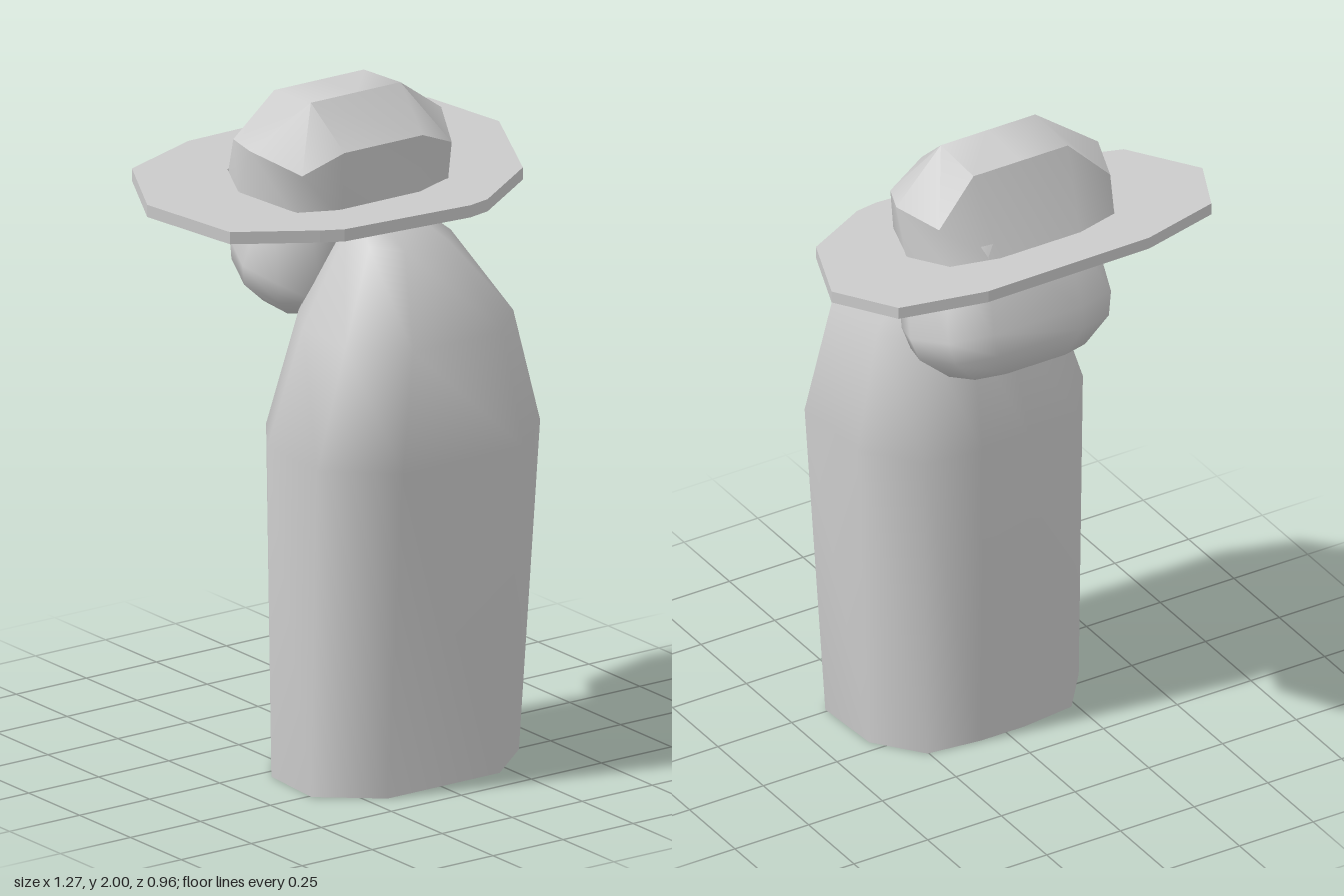
import * as THREE from 'three';

// Unit half outline (x, z) from front to back on the left side; mirrored to ten points.
const BODY = [[0.54, 1], [1, 0.46], [0.96, -0.38], [0.66, -0.92], [0.2, -1]];
const HEAD = [[0.5, 1], [0.87, 0.75], [1, 0.05], [0.85, -0.72], [0.46, -1]];

// Complete a half ring of [x, y, z] points by mirroring in x.
const mirror = half => [...half, ...half.map(([x, y, z]) => [-x, y, z]).reverse()];

// Ring at height y, centred on (cx, cz), with half sizes hx and hz.
function ring(outline, y, cx, hx, cz, hz) {
  return mirror(outline.map(([x, z]) => [x * hx, y, z * hz])).map(([x, h, z]) => [x + cx, h, z + cz]);
}

// Smooth skin through rings listed from bottom to top.
function loft(rings) {
  const n = rings[0].length, index = [];
  for (let r = 0; r < rings.length - 1; r++) {
    for (let i = 0; i < n; i++) {
      const a = r * n + i, b = r * n + (i + 1) % n;
      index.push(a, b, a + n, b, b + n, a + n);
    }
  }
  const geo = new THREE.BufferGeometry();
  geo.setAttribute('position', new THREE.Float32BufferAttribute(rings.flat(2), 3));
  geo.setIndex(index);
  geo.computeVertexNormals();
  return geo;
}

export function createModel() {
  const group = new THREE.Group();
  const solid = new THREE.MeshStandardMaterial({ color: 0xcccccc });
  const open = new THREE.MeshStandardMaterial({ color: 0xcccccc, side: THREE.DoubleSide });
  const add = (name, geometry, material) => {
    const mesh = new THREE.Mesh(geometry, material);
    mesh.name = name;
    group.add(mesh);
    return mesh;
  };

  // Cloaked body, open underneath and hunched into the neck
  add('body', loft([
    [0, 0.01, 0.37, 0.14, 0.26],
    [1.01, 0.022, 0.398, 0.163, 0.317],
    [1.36, 0.03, 0.3, 0.178, 0.267],
    [1.61, 0.03, 0.145, 0.135, 0.155],
    [1.68, 0.03, 0.08, 0.06, 0.05],
    [1.69, 0.03, 0, 0.05, 0],
  ].map(p => ring(BODY, ...p))), open);

  // Head, leaning forward under the hat
  const head = add('head', loft([
    [-0.062, 0, 0, -0.01, 0],
    [-0.055, 0, 0.22, -0.01, 0.12],
    [0.02, 0, 0.305, -0.01, 0.17],
    [0.09, 0, 0.325, -0.01, 0.175],
    [0.36, 0, 0.28, -0.01, 0.18],
    [0.36, 0, 0, -0.01, 0],
  ].map(p => ring(HEAD, ...p))), solid);
  head.position.set(0.035, 1.4, -0.2);
  head.rotation.x = 0.28;

  // Hat crown wall, from the brim up to a wavy rim
  const base = mirror([[0.14, 1.68, 0.1], [0.27, 1.685, 0.06], [0.34, 1.71, -0.13],
    [0.28, 1.73, -0.265], [0.135, 1.74, -0.31]]);
  const rim = mirror([[0.14, 1.88, 0.118], [0.267, 1.825, 0.085], [0.342, 1.875, -0.07],
    [0.29, 1.86, -0.222], [0.16, 1.99, -0.2]]);
  add('hatCrown', loft([base, rim]), open);

  // Crown top, folding from the rim up to a short ridge
  const ridge = rim.map(([x], i) => (i === 4 || i === 5 ? rim[i] : [Math.sign(x) * 0.16, 2, -0.02]));
  const middle = rim.map((p, i) => [0, i === 4 || i === 5 ? 1.99 : 2, i === 4 || i === 5 ? -0.2 : -0.02]);
  add('hatTop', loft([rim, ridge, middle]), open);

  // Wide brim with a hole for the head, sloping down to the front
  const outline = [[-0.27, -0.47], [0.28, -0.477], [0.54, -0.405], [0.632, -0.185], [0.51, 0.1],
    [0.29, 0.23], [0.22, 0.242], [-0.21, 0.215], [-0.28, 0.19], [-0.525, 0.085],
    [-0.635, -0.17], [-0.53, -0.39]];
  const shape = new THREE.Shape(outline.map(([x, z]) => new THREE.Vector2(x, -z)));
  shape.holes.push(new THREE.Path(base.map(([x, , z]) => new THREE.Vector2(x, -z))));
  const brim = new THREE.ExtrudeGeometry(shape, { depth: 0.037, bevelEnabled: false }).rotateX(-Math.PI / 2);
  const pos = brim.attributes.position;
  for (let i = 0; i < pos.count; i++) pos.setY(i, pos.getY(i) + 1.681 - 0.14 * pos.getZ(i));
  brim.computeVertexNormals();
  add('hatBrim', brim, solid);

  return group;
}
